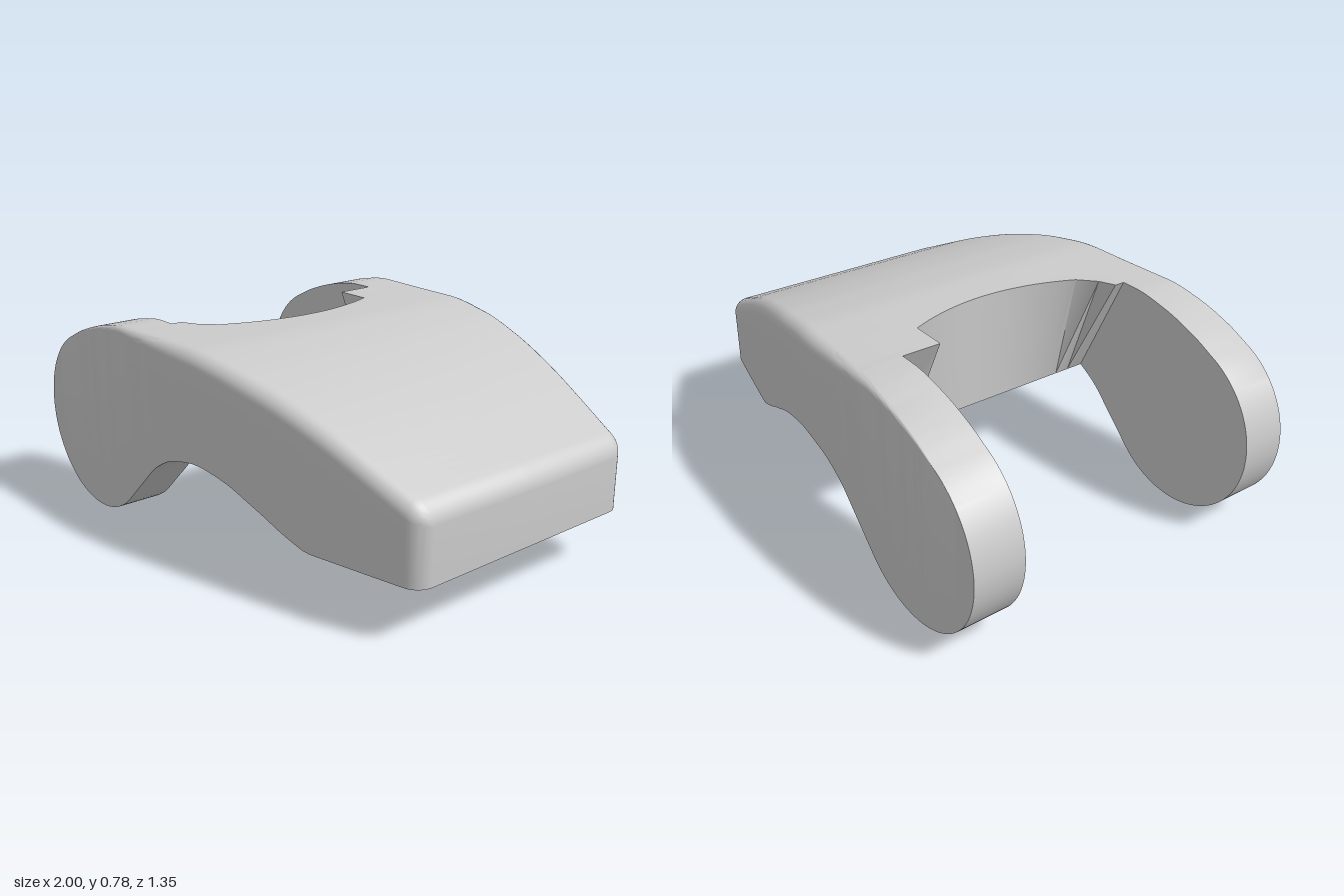
import * as THREE from 'three';
import { toCreasedNormals } from 'three/addons/utils/BufferGeometryUtils.js';

// Smooth monotone curve through [x, y] points
function curve(pts) {
  const d = pts.slice(1).map((p, i) => (p[1] - pts[i][1]) / (p[0] - pts[i][0]));
  const m = pts.map((_, i) => {
    if (i === 0) return d[0];
    if (i === d.length) return d[i - 1];
    return d[i - 1] * d[i] <= 0 ? 0 : (2 * d[i - 1] * d[i]) / (d[i - 1] + d[i]);
  });
  return (x) => {
    let i = 0;
    while (i < d.length - 1 && x > pts[i + 1][0]) i++;
    const h = pts[i + 1][0] - pts[i][0], t = (x - pts[i][0]) / h, u = 1 - t;
    return pts[i][1] * (1 + 2 * t) * u * u + m[i] * h * t * u * u
      + pts[i + 1][1] * t * t * (3 - 2 * t) - m[i + 1] * h * t * t * u;
  };
}

// Side profile, half width and edge rounding along x
const R = 0.055, SLOT = -0.33, NOTCH = -0.12;
const arc = (x) => Math.sqrt(Math.max(0, 0.35 ** 2 - (x + 0.65) ** 2));
const endDrop = (x) => (x < 1 - R ? 0 : R - Math.sqrt(Math.max(0, R * R - (x - 1 + R) ** 2)));
const topCurve = curve([[-0.8, 0.666], [-0.7, 0.712], [-0.55, 0.758], [-0.4, 0.78], [0, 0.78],
  [0.2, 0.757], [0.4, 0.71], [0.6, 0.64], [0.94, 0.485], [1, 0.458]]);
const bottomCurve = curve([[-0.4, 0.105], [-0.3, 0.2], [-0.2, 0.29], [-0.08, 0.35], [0.06, 0.375],
  [0.2, 0.355], [0.35, 0.295], [0.5, 0.225], [0.58, 0.2], [1, 0.2]]);
const widthCurve = curve([[-1, 0.675], [-0.05, 0.675], [0.2, 0.655], [0.4, 0.62], [0.6, 0.58], [0.94, 0.51], [1, 0.497]]);
const topY = (x) => (x < -0.8 ? 0.35 + arc(x) : topCurve(x) - endDrop(x));
const bottomY = (x) => (x < -0.4 ? 0.35 - arc(x) : bottomCurve(x));
const halfWidth = (x) => widthCurve(x) - endDrop(x);
const rounding = (x) => R * THREE.MathUtils.smoothstep(x, -0.9, 0.1) - endDrop(x);
const armInner = (s) => (s > 0 ? 0.5 : 0.48);

// Upper rim of the rear notch as [x, z], running from -z to +z
const rim = [[SLOT, -0.48], [SLOT, -0.33]];
for (let i = 0; i <= 20; i++) {
  const z = i < 10 ? -0.33 * (1 - i / 10) : 0.37 * (i / 10 - 1);
  rim.push([NOTCH - 0.643 * z * z, z]);
}
rim.push([-0.27, 0.43], [SLOT, 0.46], [SLOT, 0.5]);

// Distance of the rim from the middle at x, on side s
function rimZ(x, s) {
  for (let i = 1; i < rim.length; i++) {
    const [a, b] = [rim[i - 1], rim[i]];
    if ((a[1] + b[1]) * s <= 0 || a[0] === b[0]) continue;
    const t = (x - a[0]) / (b[0] - a[0]);
    if (t >= -1e-6 && t <= 1 + 1e-6) return Math.abs(a[1] + (b[1] - a[1]) * t);
  }
  return 0;
}

// Quads between consecutive rows of points, leaving out empty triangles
function strip(out, rows, flip) {
  const tri = new THREE.Triangle();
  const add = (a, b, c) => {
    tri.set(a, b, c);
    if (tri.getArea() < 1e-9) return;
    for (const p of flip ? [a, c, b] : [a, b, c]) out.push(p.x, p.y, p.z);
  };
  for (let i = 1; i < rows.length; i++) {
    for (let j = 1; j < rows[i].length; j++) {
      const [a, b, c, d] = [rows[i - 1][j - 1], rows[i][j - 1], rows[i][j], rows[i - 1][j]];
      add(a, b, c);
      add(a, c, d);
    }
  }
}

const V = (x, y, z) => new THREE.Vector3(x, y, z);

// Stations along x, closer together at both rounded ends
function stations() {
  const xs = [SLOT, NOTCH, ...rim.map((p) => p[0])];
  for (let i = 0; i <= 40; i++) xs.push(-0.65 - 0.35 * Math.cos((i / 40) * Math.PI / 2));
  for (let x = -0.62; x < 0.94; x += 0.03) xs.push(x);
  for (let i = 0; i <= 8; i++) xs.push(1 - R + R * Math.sin((i / 8) * Math.PI / 2));
  xs.sort((a, b) => a - b);
  return xs.filter((x, i) => i === 0 || x - xs[i - 1] > 1e-5);
}

// Cross-section of one half, from the underside round to the top
function section(x, s, zBottom, zTop) {
  const w = halfWidth(x), y0 = bottomY(x), y1 = topY(x);
  const r = Math.max(0, Math.min(rounding(x), y1 - y0));
  const pts = [V(x, y0, s * zBottom), V(x, y0, s * w)];
  for (let k = 0; k <= 7; k++) {
    const a = (k / 7) * Math.PI / 2;
    pts.push(V(x, y1 - r + r * Math.sin(a), s * (w - r + r * Math.cos(a))));
  }
  pts.push(V(x, y1, s * zTop));
  return pts;
}

function makeMesh(name, positions, material) {
  const g = new THREE.BufferGeometry();
  g.setAttribute('position', new THREE.Float32BufferAttribute(positions, 3));
  const mesh = new THREE.Mesh(toCreasedNormals(g, 0.5), material);
  mesh.name = name;
  return mesh;
}

export function createModel() {
  const group = new THREE.Group();
  group.name = 'forkedBracket';
  const material = new THREE.MeshStandardMaterial({ color: 0xcccccc, side: THREE.DoubleSide });
  const xs = stations();
  const shell = [], inner = [], notch = [];
  const ySlot = topY(SLOT), yNotch = bottomY(NOTCH);

  for (const s of [1, -1]) {
    const arm = armInner(s), flip = s < 0;
    const part = (from, to) => xs.filter((x) => x >= from - 1e-5 && x <= to + 1e-5);
    // Arm, notched middle and solid nose of the outer shell
    strip(shell, part(-1, SLOT).map((x) => section(x, s, arm, arm)), flip);
    strip(shell, part(SLOT, NOTCH).map((x) => section(x, s, arm, rimZ(x, s))), flip);
    strip(shell, part(NOTCH, 1).map((x) => section(x, s, 0, 0)), flip);
    // Flat inner face of the arm, running under the notch
    strip(inner, part(-1, NOTCH).map((x) => {
      const t = (x - SLOT) / (NOTCH - SLOT);
      const y = t <= 0 ? topY(x) : ySlot + (yNotch - ySlot) * t;
      return [V(x, bottomY(x), s * arm), V(x, Math.max(y, bottomY(x)), s * arm)];
    }), !flip);
  }

  // Flat front end
  strip(shell, [1, -1].map((s) => [V(1, bottomY(1), s * halfWidth(1)), V(1, topY(1), s * halfWidth(1))]), false);

  // Undercut wall from the straight lower edge to the curved rim
  strip(notch, rim.map(([x, z]) => [V(NOTCH, yNotch, z), V(x, topY(x), z)]), false);

  group.add(makeMesh('outerShell', shell, material));
  group.add(makeMesh('armInnerFaces', inner, material));
  group.add(makeMesh('notchWall', notch, material));
  return group;
}
